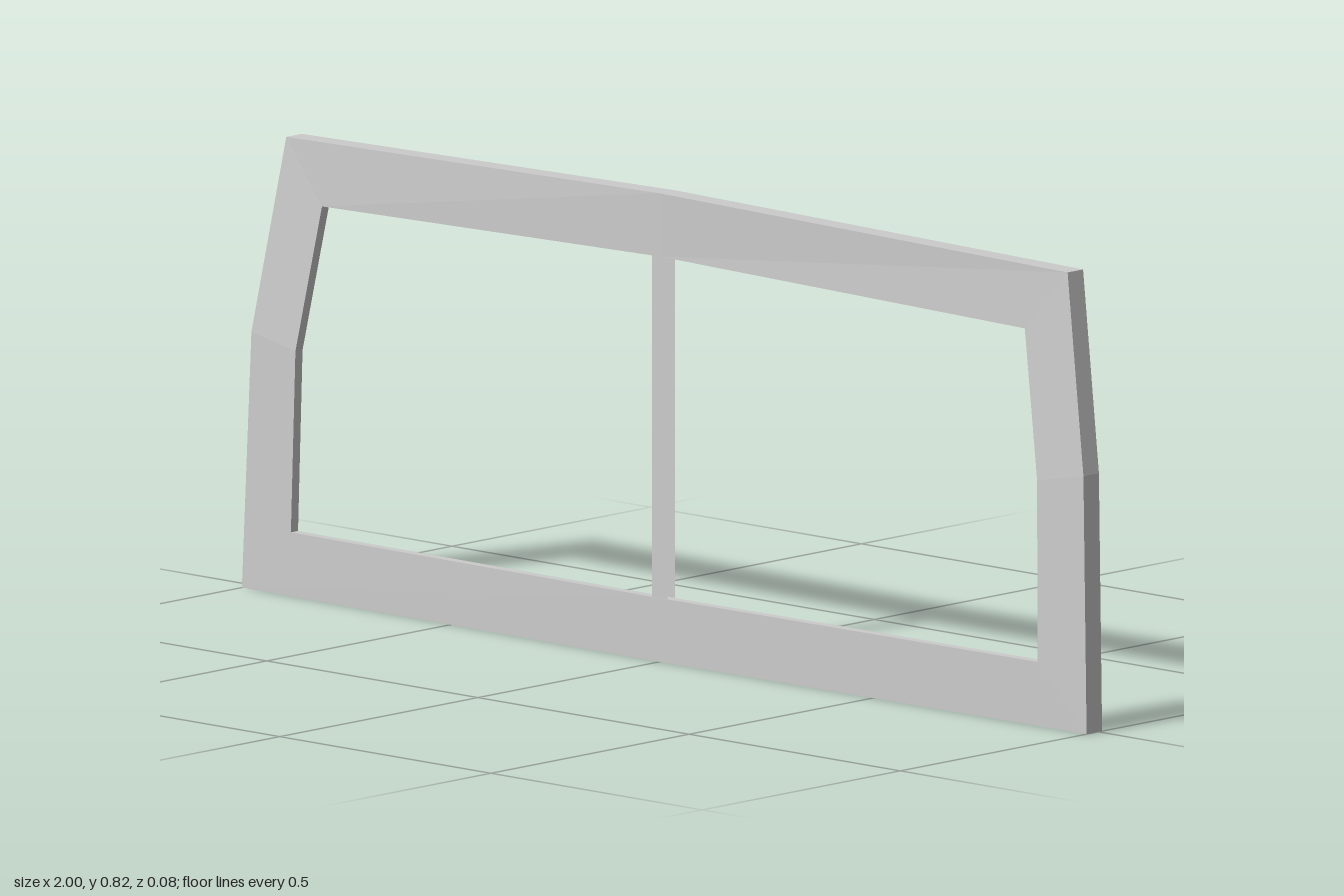
import * as THREE from 'three';

const RIM_DEPTH = 0.039;
const LIP_DEPTH = 0.018;

// Half outlines from bottom centre round to top centre: x, y, front z
const OUTER = [[0, 0, 0.042], [1, 0, 0.03], [0.985, 0.45, 0.022], [0.925, 0.797, -0.002], [0, 0.823, 0.042]];
const INNER = [[0, 0.112, 0.042], [0.884, 0.112, 0.03], [0.878, 0.43, 0.025], [0.832, 0.688, 0.007], [0, 0.712, 0.042]];

const material = new THREE.MeshStandardMaterial({ color: 0xcccccc, flatShading: true, side: THREE.DoubleSide });

// Mirror a half outline into a full counter-clockwise loop
function fullLoop(half) {
  const mirrored = half.slice(1, -1).reverse().map(([x, y, z]) => [-x, y, z]);
  return [...half, ...mirrored];
}

const pushBack = (loop, depth) => loop.map(([x, y, z]) => [x, y, z - depth]);

// Band of faces between two loops
function band(name, a, b) {
  const pos = [];
  a.forEach((p, i) => {
    const j = (i + 1) % a.length;
    pos.push(...p, ...a[j], ...b[j], ...p, ...b[j], ...b[i]);
  });
  const g = new THREE.BufferGeometry();
  g.setAttribute('position', new THREE.Float32BufferAttribute(pos, 3));
  g.computeVertexNormals();
  const mesh = new THREE.Mesh(g, material);
  mesh.name = name;
  return mesh;
}

export function createModel() {
  const model = new THREE.Group();
  model.name = 'windowFrame';
  const outer = fullLoop(OUTER), inner = fullLoop(INNER);

  // Open-backed bowed surround: outer rim, front face and short inner lip
  model.add(
    band('outerRim', pushBack(outer, RIM_DEPTH), outer),
    band('frontFace', outer, inner),
    band('innerLip', inner, pushBack(inner, LIP_DEPTH))
  );

  // Centre bar: thin front and back strips, one lip depth apart
  for (const [name, z] of [['centreBarFront', 0.041], ['centreBarBack', 0.041 - LIP_DEPTH]]) {
    const strip = new THREE.Mesh(new THREE.PlaneGeometry(0.037, 0.6), material);
    strip.name = name;
    strip.position.set(0, 0.412, z);
    model.add(strip);
  }

  return model;
}
